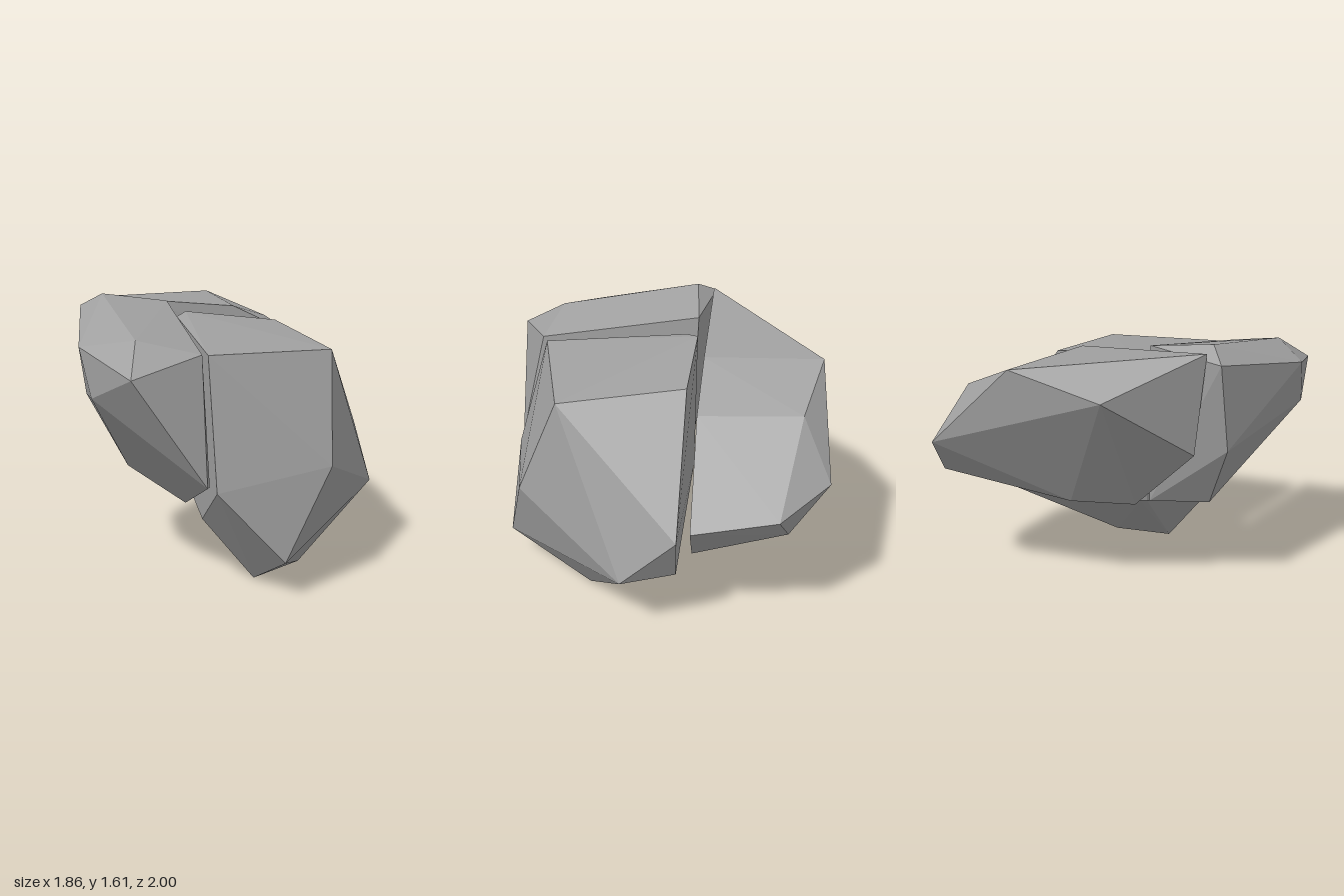
import * as THREE from 'three';
import { ConvexGeometry } from 'three/addons/geometries/ConvexGeometry.js';

// A boulder split into three faceted chunks by two narrow, near-vertical cracks.
const chunks = {
  // large chunk, front left
  frontChunk: [
    // top
    [-0.26, 1.37, 0.77], [-0.26, 1.46, -0.1], [-0.19, 1.48, -0.175],
    [0.38, 1.41, -0.165], [0.51, 1.34, 0.57],
    // front and outer side
    [0.44, 0.72, 0.83], [-0.26, 0.65, 0.98], [0.13, 0.22, 0.975],
    [0.92, 0.42, 0.16], [0.925, 0.72, -0.165],
    // underside
    [0.05, 0, 0.59], [0.37, 0.02, 0.43], [-0.26, 0.39, 0.6],
    [-0.26, 0.56, -0.12], [0.79, 0.42, -0.15], [-0.24, 0.57, -0.16]
  ],
  // narrow chunk, front right
  sideChunk: [
    // top
    [-0.71, 1.61, -0.13], [-0.83, 1.53, -0.24], [-0.31, 1.55, -0.17],
    [-0.65, 1.46, 0.73], [-0.3, 1.38, 0.8], [-0.93, 1.4, 0.51],
    // front and outer side
    [-0.72, 1.295, 1], [-0.88, 1.13, 0.62], [-0.31, 0.68, 0.97], [-0.82, 1, -0.13],
    // underside and crack face
    [-0.6, 0.58, 0.045], [-0.31, 0.42, 0.37], [-0.285, 0.47, 0.45],
    [-0.285, 0.67, 0.91], [-0.285, 0.57, -0.13]
  ],
  // wide chunk across the back
  backChunk: [
    // crack face
    [-0.73, 1.58, -0.23], [0.13, 1.495, -0.24], [0.51, 1.31, -0.235],
    [0.915, 0.78, -0.24], [0.67, 0.49, -0.23], [-0.25, 0.57, -0.23], [-0.66, 0.97, -0.23],
    // back
    [-0.41, 1.37, -0.78], [0.11, 1.51, -0.93], [0.5, 1.34, -0.83],
    [0.65, 1, -1], [0.88, 0.87, -0.73],
    // underside
    [0.78, 0.74, -0.78], [0.06, 0.595, -0.46], [-0.64, 1.13, -0.3]
  ]
};

export function createModel() {
  const stone = new THREE.MeshStandardMaterial({ color: 0xa0a0a0 });
  stone.name = 'greyStone';
  stone.flatShading = true;

  const rock = new THREE.Group();
  rock.name = 'crackedRock';
  for (const [name, corners] of Object.entries(chunks)) {
    const points = corners.map((c) => new THREE.Vector3(...c));
    const mesh = new THREE.Mesh(new ConvexGeometry(points), stone);
    mesh.name = name;
    rock.add(mesh);
  }
  return rock;
}
